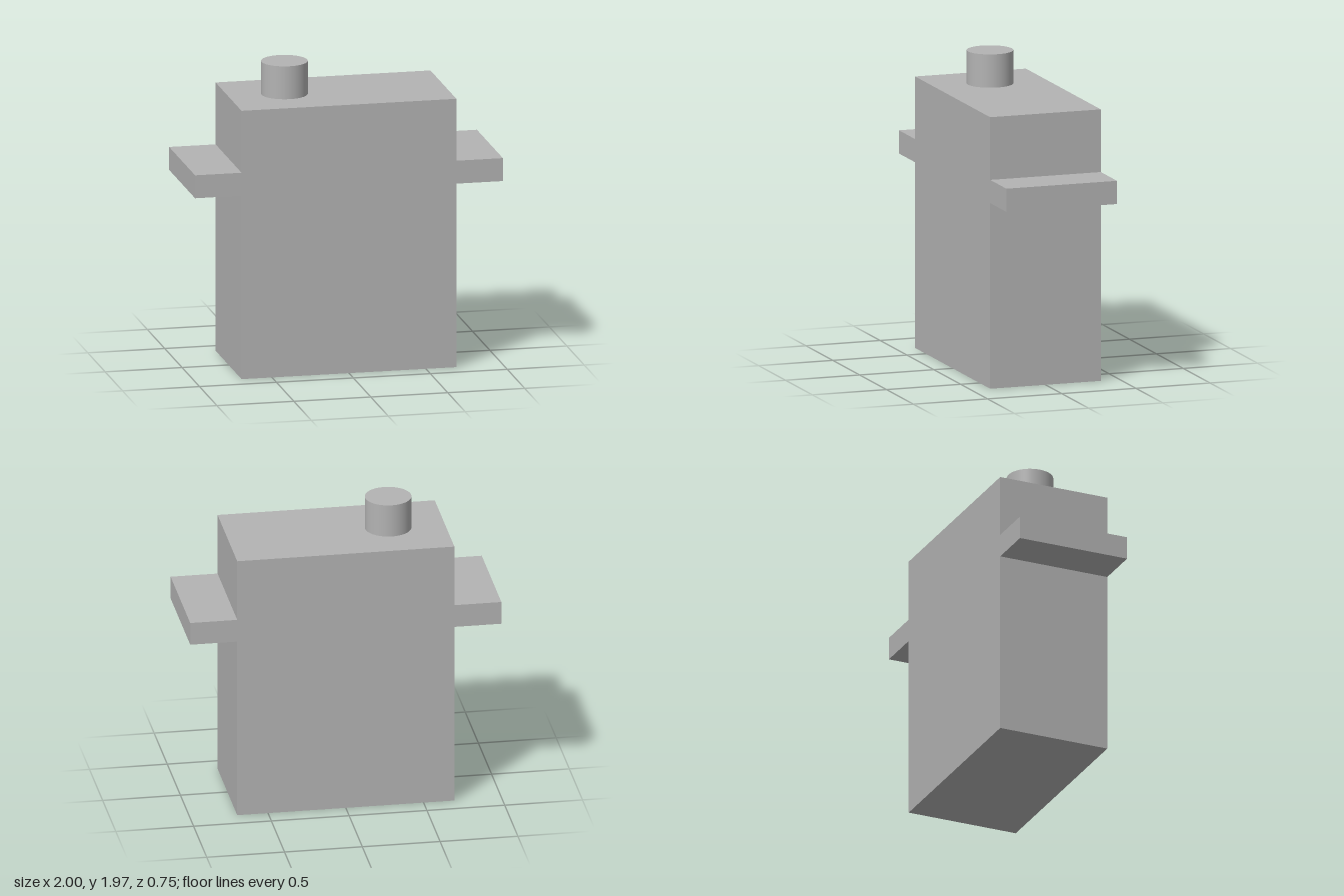
import * as THREE from 'three';

export function createModel() {
  const group = new THREE.Group();
  const grey = new THREE.MeshStandardMaterial({ color: 0xb3b3b3 });
  grey.name = 'grey';

  const depth = 0.746, bodyHalf = 0.698, bodyTop = 1.755;
  const earLow = 1.2, earHigh = 1.35, shaftTop = 1.97;

  // Case and its two mounting ears: one silhouette, mirrored and extruded
  const half = [
    [bodyHalf, 0], [bodyHalf, earLow], [1, earLow],
    [1, earHigh], [bodyHalf, earHigh], [bodyHalf, bodyTop],
  ];
  const outline = [...half, ...half.map(([x, y]) => [-x, y]).reverse()];
  const shape = new THREE.Shape(outline.map(([x, y]) => new THREE.Vector2(x, y)));
  const caseGeometry = new THREE.ExtrudeGeometry(shape, { depth, bevelEnabled: false });
  caseGeometry.translate(0, 0, -depth / 2);
  const body = new THREE.Mesh(caseGeometry, grey);
  body.name = 'caseWithMountingEars';
  group.add(body);

  // Output shaft, off-centre on the top
  const shaftHeight = shaftTop - bodyTop;
  const shaft = new THREE.Mesh(new THREE.CylinderGeometry(0.148, 0.148, shaftHeight, 64), grey);
  shaft.name = 'outputShaft';
  shaft.position.set(-0.335, bodyTop + shaftHeight / 2, 0);
  group.add(shaft);

  return group;
}
